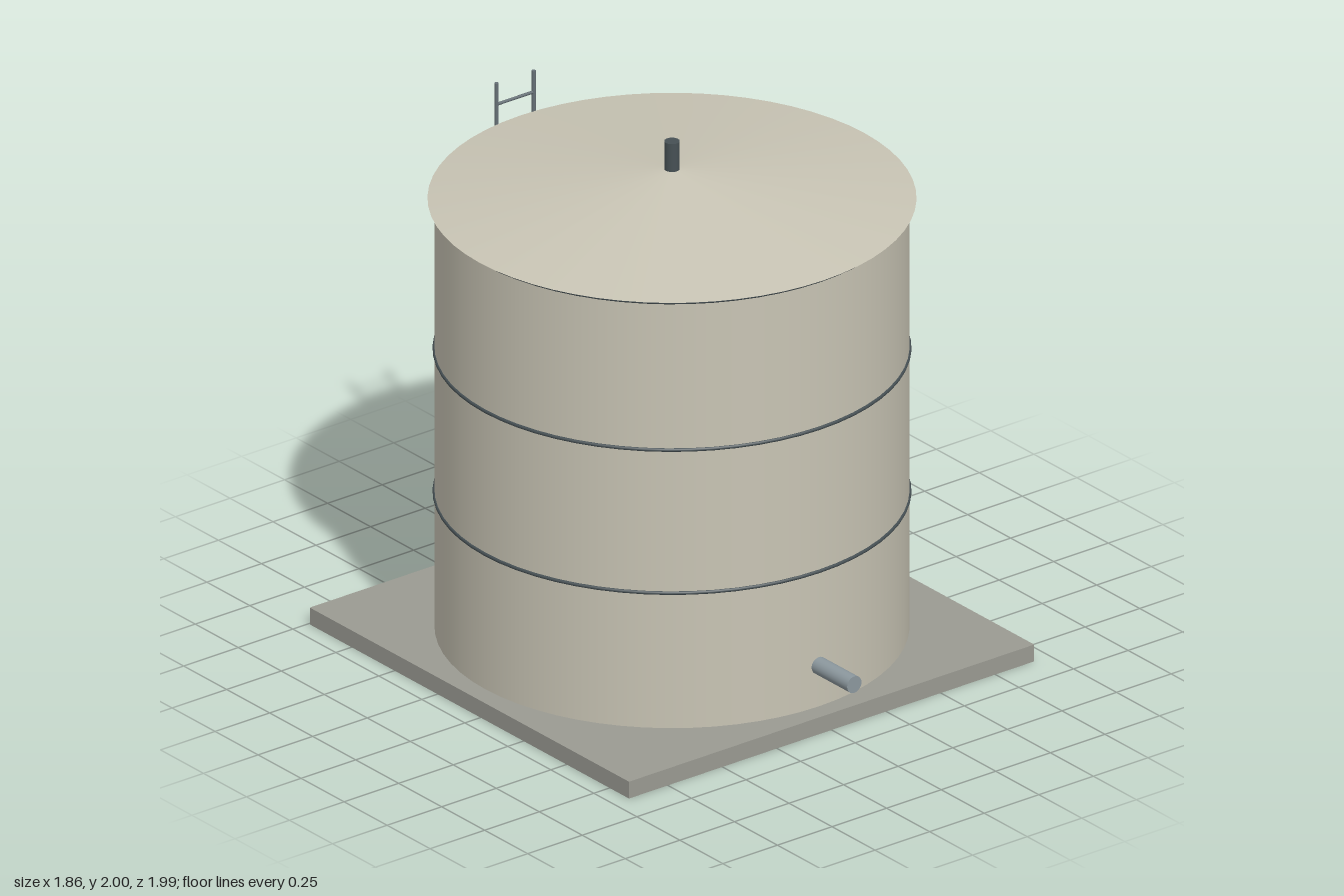
import * as THREE from 'three';

const TANK_Z = -0.065; // axis of the tank and centre of the slab
const TANK_R = 0.855;
const EAVE_Y = 1.773;

const paint = (color) => new THREE.MeshStandardMaterial({ color });

export function createModel() {
  const model = new THREE.Group();
  const concrete = paint(0x9a9a92);
  const shell = paint(0xc8c4b4);
  const darkSteel = paint(0x465054);
  const pipeSteel = paint(0x8c989e);
  const ladderSteel = paint(0x667076);

  const add = (name, geometry, material, x, y, z, parent = model) => {
    const mesh = new THREE.Mesh(geometry, material);
    mesh.name = name;
    mesh.position.set(x, y, z);
    parent.add(mesh);
    return mesh;
  };

  // Square foundation slab
  const slabH = 0.067;
  add('foundationSlab', new THREE.BoxGeometry(1.856, slabH, 1.856), concrete, 0, slabH / 2, TANK_Z);

  // Cylindrical wall and shallow overhanging roof
  const wallH = EAVE_Y - slabH;
  add('tankWall', new THREE.CylinderGeometry(TANK_R, TANK_R, wallH, 64), shell, 0, slabH + wallH / 2, TANK_Z);
  const roofH = 0.12;
  add('roof', new THREE.ConeGeometry(0.88, roofH, 64), shell, 0, EAVE_Y + roofH / 2, TANK_Z);

  // Stiffening hoops
  for (const y of [0.605, 1.175, 1.763]) {
    const hoop = add('hoop', new THREE.TorusGeometry(TANK_R, 0.007, 8, 64), darkSteel, 0, y, TANK_Z);
    hoop.rotation.x = Math.PI / 2;
  }

  // Roof vent
  add('vent', new THREE.CylinderGeometry(0.028, 0.028, 0.13, 24), darkSteel, 0, 1.935, TANK_Z);

  // Outlet pipe at the front
  const pipe = add('outletPipe', new THREE.CylinderGeometry(0.033, 0.033, 0.23, 24), pipeSteel, 0, 0.23, 0.88);
  pipe.rotation.x = Math.PI / 2;

  // Ladder at the back
  const ladder = new THREE.Group();
  ladder.name = 'ladder';
  ladder.position.z = -0.977;
  model.add(ladder);
  const railX = 0.085, railTop = 1.915, railH = railTop - slabH;
  for (const side of [-1, 1]) {
    add('ladderRail', new THREE.CylinderGeometry(0.008, 0.008, railH, 10), ladderSteel,
      side * railX, slabH + railH / 2, 0, ladder);
  }
  const rungs = 20, firstY = 0.11, lastY = 1.83;
  for (let i = 0; i < rungs; i++) {
    const y = firstY + (lastY - firstY) * i / (rungs - 1);
    const rung = add('ladderRung', new THREE.CylinderGeometry(0.006, 0.006, railX * 2, 8), ladderSteel, 0, y, 0, ladder);
    rung.rotation.z = Math.PI / 2;
  }

  return model;
}
